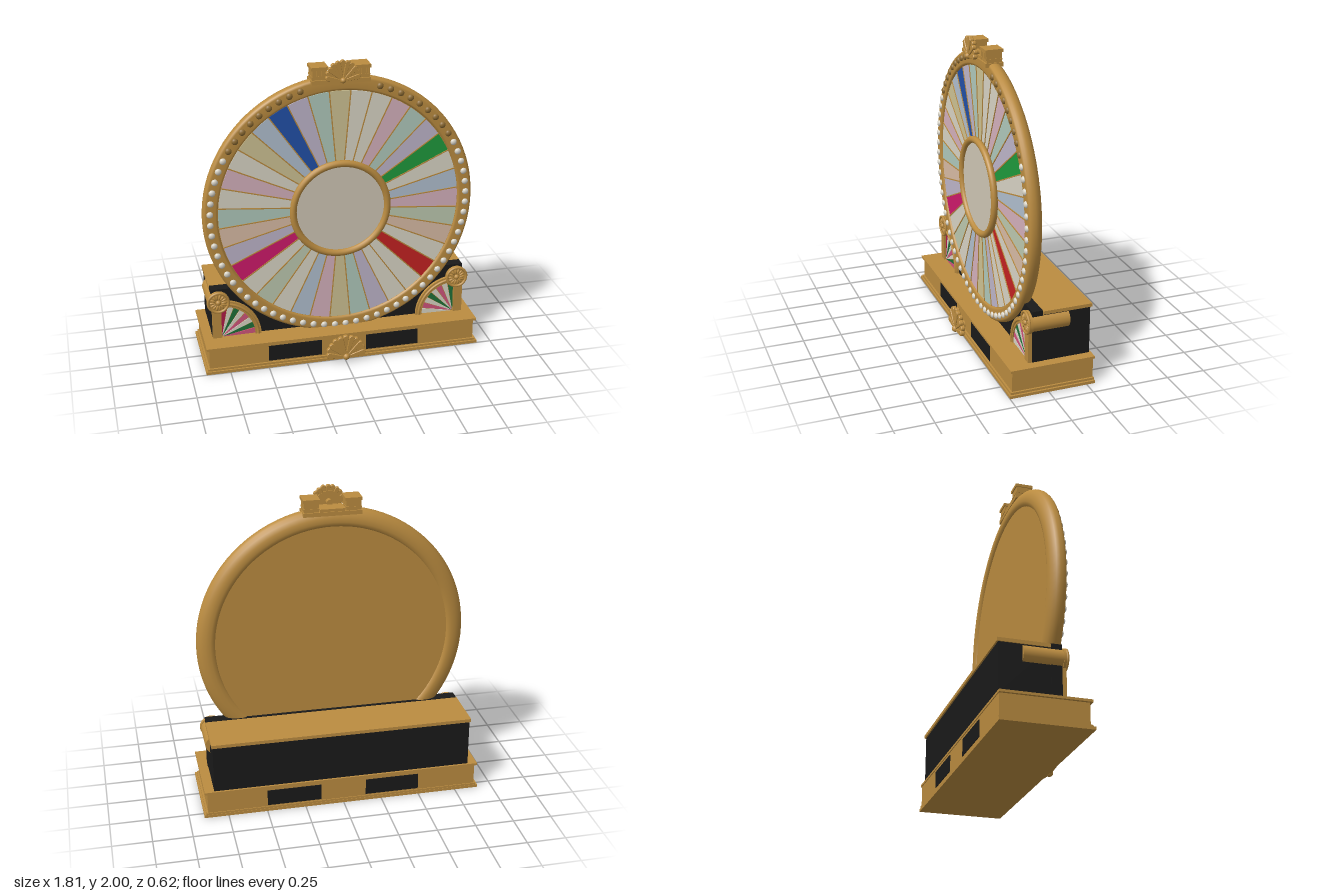
import * as THREE from 'three';

const mat = (color) => new THREE.MeshStandardMaterial({ color, side: THREE.DoubleSide });
const gold = mat(0xbb8c40), darkGold = mat(0x8f6d34), black = mat(0x1a1a1a), pearl = mat(0xd8d4c8);
const palette = {
  cream: mat(0xd9d5c6), khaki: mat(0xcfc394), pink: mat(0xd6b2be), mint: mat(0xb0c9bc),
  lavender: mat(0xbfb6cb), blue: mat(0xb2c0d0), sage: mat(0xbec9b0), peach: mat(0xd9bca6),
  green: mat(0x1f9a3c), red: mat(0xc42222), magenta: mat(0xcf1a6b), navy: mat(0x2250a8),
  rose: mat(0xd0557c), darkGreen: mat(0x1f7038), crimson: mat(0xb01848),
};

function add(parent, name, geometry, material, x = 0, y = 0, z = 0) {
  const mesh = new THREE.Mesh(geometry, material);
  mesh.name = name;
  mesh.position.set(x, y, z);
  parent.add(mesh);
  return mesh;
}

// Box given by its limits on each axis
function box(parent, name, material, x0, x1, y0, y1, z0, z1) {
  return add(parent, name, new THREE.BoxGeometry(x1 - x0, y1 - y0, z1 - z0), material,
    (x0 + x1) / 2, (y0 + y1) / 2, (z0 + z1) / 2);
}

function group(parent, name, x = 0, y = 0, z = 0) {
  const g = new THREE.Group();
  g.name = name;
  g.position.set(x, y, z);
  parent.add(g);
  return g;
}

// Slab in the shape of a ring sector, facing +z
function sector(r0, r1, a0, a1, depth) {
  const s = new THREE.Shape();
  s.absarc(0, 0, r1, a0, a1, false);
  s.absarc(0, 0, r0, a1, a0, true);
  return new THREE.ExtrudeGeometry(s, { depth, bevelEnabled: false, curveSegments: 10 });
}

// Cylinder along z, centred on its length
const disc = (r, depth, n = 48) => new THREE.CylinderGeometry(r, r, depth, n).rotateX(Math.PI / 2);
const rad = THREE.MathUtils.degToRad;

// Shell ornament: rounded blades spread from a boss
function shellFan(parent, name, x, y, z, scale) {
  const fan = group(parent, name, x, y, z);
  fan.scale.set(scale, scale, 1);
  const count = 11;
  for (let i = 0; i < count; i++) {
    const t = (i / (count - 1)) * 2 - 1;
    const a = t * rad(78), len = 0.13 + 0.03 * Math.cos(a), w = 0.017;
    const s = new THREE.Shape();
    s.moveTo(-0.004, 0);
    s.lineTo(0.004, 0);
    s.lineTo(w, len - w);
    s.absarc(0, len - w, w, 0, Math.PI, false);
    const blade = add(fan, 'shellBlade', new THREE.ExtrudeGeometry(s, {
      depth: 0.018, bevelEnabled: true, bevelSize: 0.003, bevelThickness: 0.004, bevelSegments: 1, curveSegments: 6,
    }), gold, 0, 0, i % 2 ? 0.006 : 0.012);
    blade.rotation.z = -a;
  }
  add(fan, 'shellBacking', sector(0.001, 0.115, rad(14), rad(166), 0.012), gold);
  add(fan, 'shellBoss', new THREE.SphereGeometry(0.024, 16, 10), gold, 0, 0.005, 0.028);
  add(fan, 'shellStem', disc(0.025, 0.05, 16), gold, 0, 0.03, -0.012);
}

function buildWheel(root) {
  const wheel = group(root, 'wheel', 0, 1.015, 0);

  // Rounded rim, lathed about the wheel axis
  const profile = [[0.755, 0.036], [0.765, 0.025], [0.785, 0.02], [0.815, 0.022], [0.845, 0.036], [0.863, 0.055],
    [0.87, 0.078], [0.868, 0.1], [0.86, 0.114], [0.848, 0.12], [0.79, 0.12], [0.777, 0.115], [0.775, 0.1]];
  add(wheel, 'rim', new THREE.LatheGeometry(profile.map(([r, z]) => new THREE.Vector2(r, z)), 96).rotateX(Math.PI / 2), gold);
  add(wheel, 'wheelBacking', disc(0.778, 0.066, 96), gold, 0, 0, 0.071);

  // Coloured wedges, counter-clockwise from +x in steps of ten degrees
  const order = ('pink blue cream green lavender mint pink cream cream khaki mint lavender navy blue khaki cream pink cream '
    + 'mint peach lavender magenta cream sage cream blue pink khaki mint lavender cream cream red cream peach sage').split(' ');
  order.forEach((name, i) => {
    const a = rad(i * 10), half = rad(4.7);
    add(wheel, 'wedge', sector(0.29, 0.772, a - half, a + half, 0.006), palette[name], 0, 0, 0.103);
    const b = a + rad(5);
    const bar = add(wheel, 'wedgeDivider', new THREE.BoxGeometry(0.47, 0.007, 0.012), gold,
      0.54 * Math.cos(b), 0.54 * Math.sin(b), 0.107);
    bar.rotation.z = b;
  });

  // Hub
  add(wheel, 'hubDisc', disc(0.3, 0.025, 64), mat(0xd0c7b5), 0, 0, 0.113);
  add(wheel, 'hubRing', new THREE.TorusGeometry(0.304, 0.022, 12, 72), gold, 0, 0, 0.128);

  // Studs round the rim: gilt along the top, pearl elsewhere
  const stud = new THREE.SphereGeometry(0.021, 14, 8);
  for (let i = 0; i < 72; i++) {
    const deg = i * 5 + 2.5;
    if (Math.abs(deg - 90) < 15) continue;
    const a = rad(deg);
    const m = add(wheel, 'rimStud', stud, Math.abs(deg - 90) < 61 ? darkGold : pearl,
      0.825 * Math.cos(a), 0.825 * Math.sin(a), 0.12);
    m.scale.z = 0.7;
  }
}

function buildBase(root) {
  const base = group(root, 'base');
  box(base, 'plinthFoot', gold, -0.905, 0.905, 0, 0.018, -0.305, 0.25);
  box(base, 'plinthMoulding', gold, -0.892, 0.892, 0.018, 0.032, -0.303, 0.24);
  box(base, 'plinthBody', gold, -0.88, 0.88, 0.032, 0.165, -0.298, 0.228);
  box(base, 'plinthTop', gold, -0.897, 0.897, 0.165, 0.18, -0.303, 0.242);
  for (const s of [-1, 1]) {
    for (const z of [-0.298, 0.228]) {
      add(base, 'plinthPanel', new THREE.BoxGeometry(0.35, 0.106, 0.008), black, s * 0.322, 0.094, z);
    }
  }
  shellFan(base, 'plinthShell', 0, 0.035, 0.262, 0.95);

  // Cabinet behind the wheel
  box(base, 'cabinet', black, -0.835, 0.835, 0.18, 0.492, -0.29, 0.02);
  box(base, 'cabinetTop', gold, -0.842, 0.842, 0.49, 0.512, -0.3, 0.018);
  box(base, 'cabinetFront', black, -0.837, 0.837, 0.18, 0.516, 0.018, 0.085);
}

// Post, scroll and quarter fan at one corner; side is +1 for the model's left
function buildCorner(root, side) {
  const corner = group(root, side > 0 ? 'leftCorner' : 'rightCorner');
  const x = side * 0.778;
  const p = [x, side * 0.836].sort((a, b) => a - b);
  box(corner, 'cornerPost', gold, p[0], p[1], 0.18, 0.4, 0.08, 0.11);
  add(corner, 'scroll', disc(0.058, 0.245, 32), gold, side * 0.805, 0.434, -0.027);

  // Quarter fan with coloured wedges and a double arch
  const fan = group(corner, 'quarterFan', x, 0.18, 0.083);
  const colors = side > 0
    ? ['darkGreen', 'cream', 'rose', 'cream', 'darkGreen', 'cream', 'rose', 'cream']
    : ['crimson', 'cream', 'darkGreen', 'cream', 'rose', 'cream', 'darkGreen', 'rose'];
  const start = side > 0 ? Math.PI / 2 : 0, step = Math.PI / 16;
  colors.forEach((name, i) => {
    const a = start + (side > 0 ? i : 7 - i) * step;
    add(fan, 'fanWedge', sector(0.012, 0.222, a + 0.012, a + step - 0.012, 0.014), palette[name]);
  });
  add(fan, 'fanBacking', sector(0.001, 0.23, start, start + Math.PI / 2, 0.01), gold);
  add(fan, 'fanArch', sector(0.218, 0.258, start, start + Math.PI / 2, 0.022), gold);
  add(fan, 'fanArchBead', new THREE.TorusGeometry(0.238, 0.009, 8, 24, Math.PI / 2), gold, 0, 0, 0.022).rotation.z = start;

  // Rosette on the scroll's end
  const rose = group(corner, 'rosette', side * 0.794, 0.434, 0.1);
  add(rose, 'rosetteDisc', disc(0.072, 0.022, 40), gold);
  add(rose, 'rosetteRing', new THREE.TorusGeometry(0.066, 0.009, 8, 40), gold, 0, 0, 0.011);
  for (let i = 0; i < 14; i++) {
    const a = (i / 14) * Math.PI * 2;
    const petal = add(rose, 'rosettePetal', new THREE.SphereGeometry(0.02, 8, 6), gold,
      0.038 * Math.cos(a), 0.038 * Math.sin(a), 0.011);
    petal.scale.set(1, 0.4, 0.4);
    petal.rotation.z = a;
  }
  add(rose, 'rosetteBoss', new THREE.SphereGeometry(0.018, 14, 8), gold, 0, 0, 0.009);
}

function buildCrest(root) {
  const crest = group(root, 'crest');
  box(crest, 'crestSlab', gold, -0.185, 0.185, 1.842, 1.868, 0.025, 0.14);
  box(crest, 'crestMiddle', gold, -0.08, 0.08, 1.866, 1.885, 0.03, 0.132);
  for (const s of [-1, 1]) {
    const cx = s * 0.132;
    box(crest, 'crestBlock', gold, cx - 0.047, cx + 0.047, 1.866, 1.932, 0.033, 0.13);
    box(crest, 'crestLedge', gold, cx - 0.05, cx + 0.05, 1.884, 1.892, 0.03, 0.136);
    box(crest, 'crestCap', gold, cx - 0.053, cx + 0.053, 1.93, 1.95, 0.026, 0.14);
    for (let i = -3; i <= 3; i++) {
      const fx = cx + i * 0.0135;
      box(crest, 'crestFlute', gold, fx - 0.004, fx + 0.004, 1.892, 1.93, 0.128, 0.136);
    }
  }
  shellFan(crest, 'crestShell', 0, 1.872, 0.155, 0.78);
}

export function createModel() {
  const root = new THREE.Group();
  root.name = 'prizeWheel';
  buildBase(root);
  buildWheel(root);
  buildCorner(root, 1);
  buildCorner(root, -1);
  buildCrest(root);
  return root;
}
